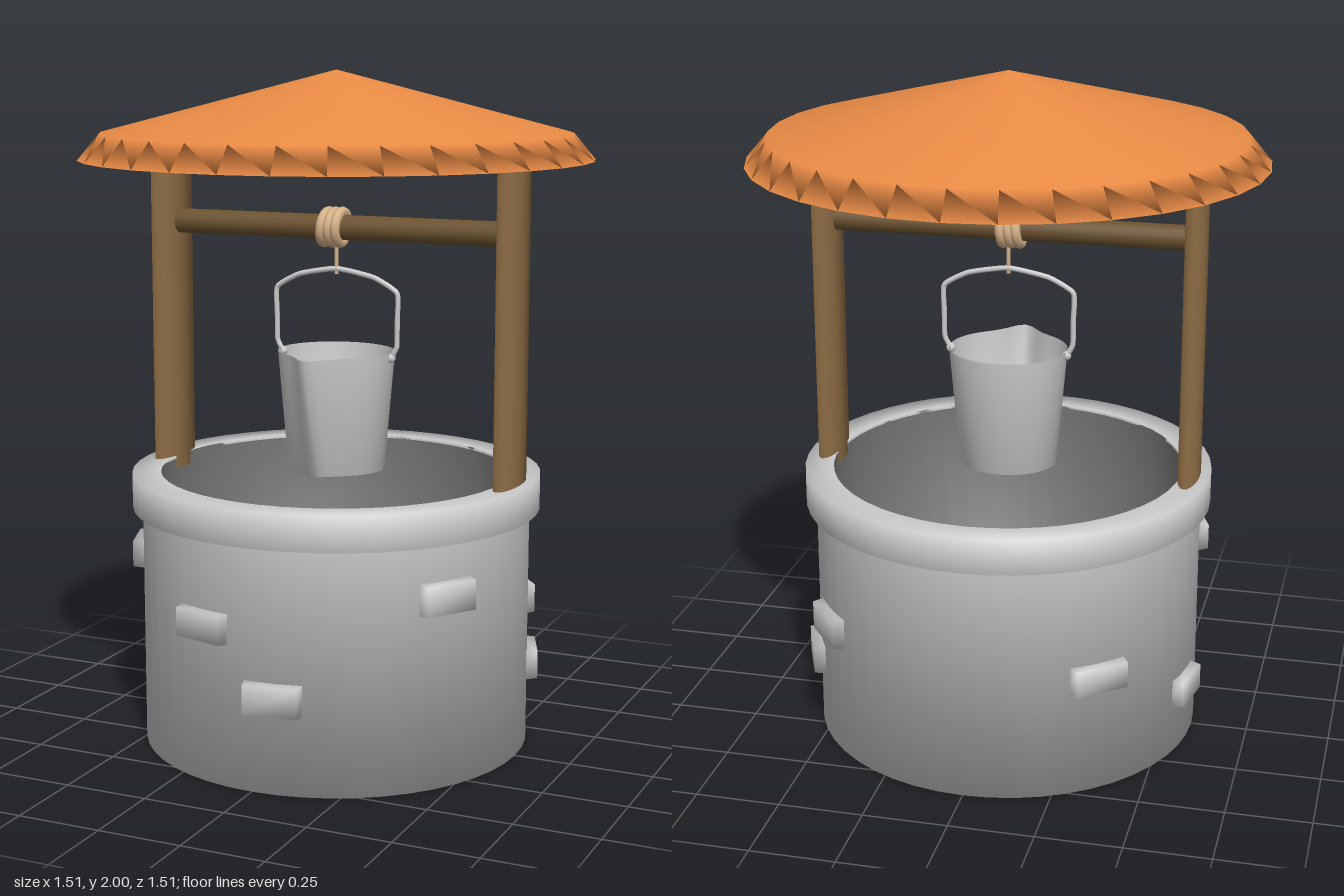
import * as THREE from 'three';
import { mergeVertices } from 'three/addons/utils/BufferGeometryUtils.js';

const stone = new THREE.MeshStandardMaterial({ color: 0xcccccc });
const shaftStone = new THREE.MeshStandardMaterial({ color: 0x757575 });
const metal = new THREE.MeshStandardMaterial({ color: 0xcccccc, side: THREE.DoubleSide });
const tile = new THREE.MeshStandardMaterial({ color: 0xe88a45 });
const wood = new THREE.MeshStandardMaterial({ color: 0x8b6b43 });
const darkWood = new THREE.MeshStandardMaterial({ color: 0x6b5230 });
const ropeTan = new THREE.MeshStandardMaterial({ color: 0xd8b48a });

const v3 = (x, y, z) => new THREE.Vector3(x, y, z);

function add(parent, name, geometry, material) {
  const mesh = new THREE.Mesh(geometry, material);
  mesh.name = name;
  parent.add(mesh);
  return mesh;
}

// Revolve a [radius, y] profile; shading runs smoothly round every corner
function lathe(profile, segments) {
  return new THREE.LatheGeometry(profile.map(([r, y]) => new THREE.Vector2(r, y)), segments);
}

// Share vertices between faces so normals blend over all edges
function smooth(geometry) {
  geometry.deleteAttribute('normal');
  geometry.deleteAttribute('uv');
  const merged = mergeVertices(geometry, 1e-4);
  merged.computeVertexNormals();
  return merged;
}

// Pillow-shaded stone block whose outer face is slightly smaller than its root
function brickGeometry(width, height) {
  const geometry = new THREE.BoxGeometry(width, height, 0.07);
  const p = geometry.attributes.position;
  for (let i = 0; i < p.count; i++) {
    if (p.getZ(i) > 0) p.setXY(i, p.getX(i) * 0.9, p.getY(i) * 0.86);
  }
  return smooth(geometry);
}

// Flat oval post that keeps the soft shading of a round one
function postGeometry() {
  const geometry = new THREE.CylinderGeometry(1, 1, 0.98, 20);
  const p = geometry.attributes.position;
  for (let i = 0; i < p.count; i++) p.setXYZ(i, p.getX(i) * 0.031, p.getY(i), p.getZ(i) * 0.115);
  return geometry;
}

// Open pail with a pouring lip running down its front
function pailGeometry() {
  const geometry = lathe([[0, 0.825], [0.146, 0.825], [0.176, 1.178]], 48);
  const p = geometry.attributes.position;
  for (let i = 0; i < p.count; i++) {
    const x = p.getX(i), z = p.getZ(i), t = (p.getY(i) - 0.825) / 0.353;
    const lip = z > 0.08 ? (0.03 + 0.037 * t) * Math.exp(-((x / 0.05) ** 2)) : 0;
    p.setZ(i, z * 0.93 + lip);
  }
  return smooth(geometry);
}

export function createModel() {
  const model = new THREE.Group();
  model.name = 'well';

  // Stone wall with an overhanging rim
  add(model, 'wellWall', lathe([
    [0, 0], [0.58, 0], [0.58, 0.715], [0.61, 0.715], [0.61, 0.82], [0.525, 0.82], [0.525, 0.81],
  ], 48), stone);

  // Dark inside of the shaft
  add(model, 'wellShaft', lathe([[0.526, 0.819], [0.525, 0.819], [0.525, 0.1], [0, 0.1]], 48), shaftStone);

  // Raised stones: x, z, y, width, height
  const bricks = new THREE.Group();
  bricks.name = 'raisedStones';
  model.add(bricks);
  for (const [x, z, y, w, h] of [
    [-0.16, 0.56, 0.465, 0.18, 0.095], [0.065, 0.58, 0.28, 0.18, 0.1],
    [0.48, 0.32, 0.56, 0.18, 0.1], [0.455, -0.36, 0.395, 0.18, 0.1],
    [0.54, -0.22, 0.235, 0.175, 0.095], [-0.37, -0.45, 0.36, 0.18, 0.09],
    [-0.567, -0.12, 0.195, 0.16, 0.09], [-0.54, 0.21, 0.565, 0.17, 0.09],
  ]) {
    const angle = Math.atan2(x, z);
    const brick = add(bricks, 'raisedStone', brickGeometry(w, h), stone);
    brick.position.set(Math.sin(angle) * 0.573, y, Math.cos(angle) * 0.573);
    brick.rotation.y = angle;
  }

  // Round roof with a sloping lip and flat underside
  add(model, 'roof', lathe([[0, 1.745], [0.753, 1.745], [0.69, 1.82], [0, 2]], 32), tile);

  // Flat oval posts
  for (const side of [-1, 1]) {
    const post = add(model, side > 0 ? 'leftPost' : 'rightPost', postGeometry(), wood);
    post.position.set(side * 0.55, 1.27, 0);
  }

  // Crossbeam
  const beam = add(model, 'crossbeam', new THREE.CylinderGeometry(0.037, 0.037, 1.07, 16), darkWood);
  beam.rotation.z = Math.PI / 2;
  beam.position.y = 1.543;

  // Rope wound round the beam, with a short hanging end
  const rope = new THREE.Group();
  rope.name = 'rope';
  model.add(rope);
  for (let i = 0; i < 3; i++) {
    const coil = add(rope, 'ropeCoil', new THREE.TorusGeometry(0.046, 0.0155, 8, 24), ropeTan);
    coil.position.set(-0.031 + i * 0.023, 1.543, 0);
    coil.rotation.set(0, Math.PI / 2, -0.12 + i * 0.03, 'ZYX');
  }
  add(rope, 'ropeEnd', new THREE.CylinderGeometry(0.006, 0.006, 0.1, 8), ropeTan).position.set(0, 1.455, 0);

  // Pail with its bail handle and ears
  const pail = new THREE.Group();
  pail.name = 'pail';
  model.add(pail);
  add(pail, 'pailBody', pailGeometry(), metal);
  const bail = new THREE.CatmullRomCurve3([
    v3(-0.176, 1.165, 0), v3(-0.194, 1.2, 0), v3(-0.195, 1.28, 0), v3(-0.194, 1.358, 0),
    v3(-0.12, 1.4, 0), v3(0, 1.421, 0), v3(0.12, 1.4, 0),
    v3(0.194, 1.358, 0), v3(0.195, 1.28, 0), v3(0.194, 1.2, 0), v3(0.176, 1.165, 0),
  ], false, 'catmullrom', 0.25);
  add(pail, 'pailHandle', new THREE.TubeGeometry(bail, 100, 0.008, 8), metal);
  for (const side of [-1, 1]) {
    add(pail, 'handleEar', new THREE.SphereGeometry(0.014, 10, 8), metal).position.set(side * 0.176, 1.165, 0);
  }

  return model;
}
